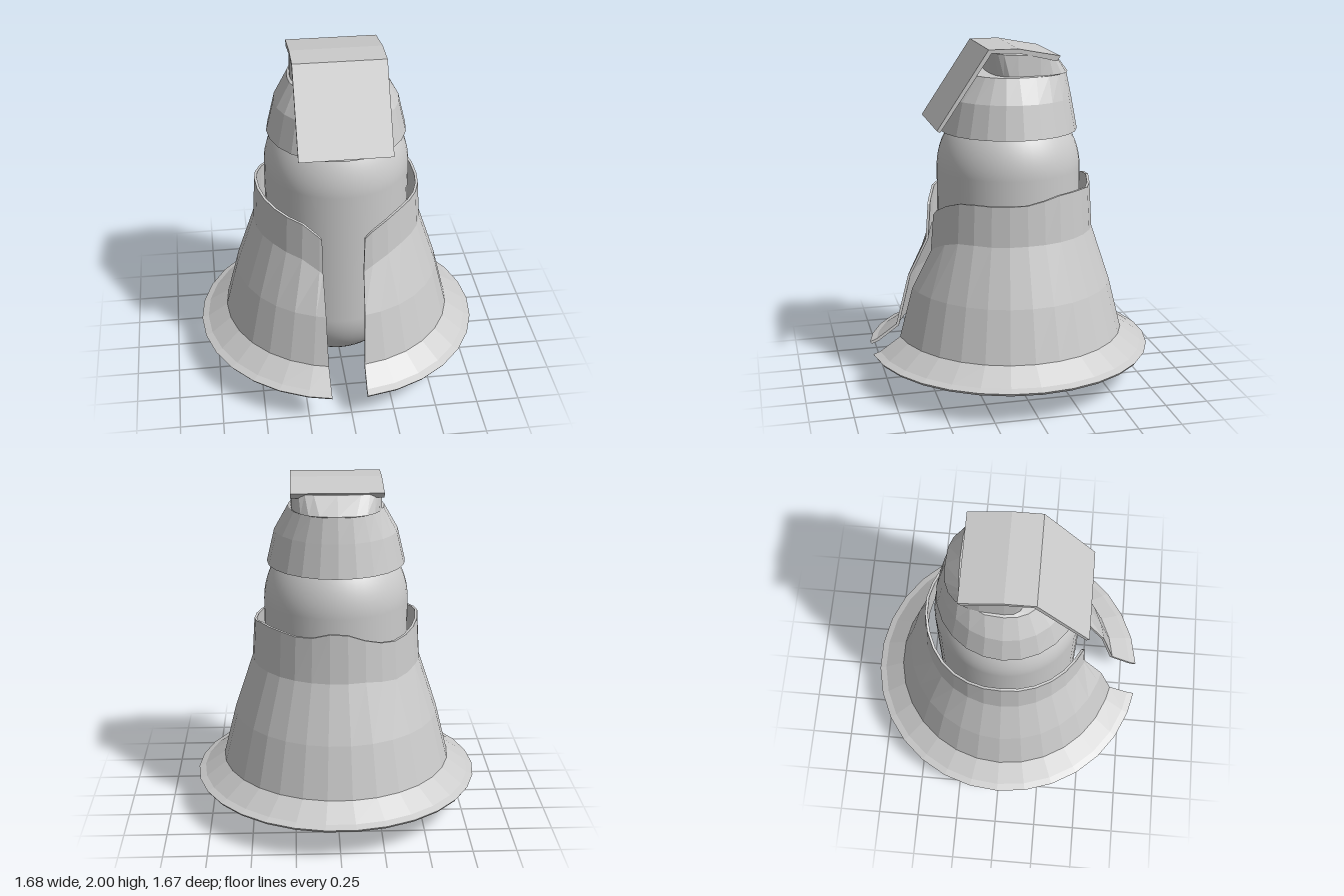
import * as THREE from 'three';

const smooth = new THREE.MeshStandardMaterial({ color: 0xcccccc });
const faceted = new THREE.MeshStandardMaterial({ color: 0xcccccc, flatShading: true, side: THREE.DoubleSide });

// Joins columns of points into a faceted skin. Columns run left to right, rows upward.
function skin(columns, { wrapColumns = false, wrapRows = false, caps = false } = {}) {
  const n = columns.length, m = columns[0].length, index = [];
  for (let k = 0; k < (wrapColumns ? n : n - 1); k++) {
    for (let j = 0; j < (wrapRows ? m : m - 1); j++) {
      const k2 = (k + 1) % n, j2 = (j + 1) % m;
      const a = k * m + j, b = k2 * m + j, c = k2 * m + j2, d = k * m + j2;
      index.push(a, b, c, a, c, d);
    }
  }
  if (caps) {
    for (let j = 0; j < m / 2 - 1; j++) {
      const quad = [j, j + 1, m - 2 - j, m - 1 - j];
      const [a, b, c, d] = quad;
      index.push(a, b, c, a, c, d);
      const [e, f, g, h] = quad.map(i => i + (n - 1) * m);
      index.push(e, g, f, e, h, g);
    }
  }
  const geometry = new THREE.BufferGeometry();
  geometry.setAttribute('position', new THREE.Float32BufferAttribute(columns.flat(2), 3));
  geometry.setIndex(index);
  const flat = geometry.toNonIndexed();
  flat.computeVertexNormals();
  return flat;
}

// Wavy top edge of the skirt: [degrees from the front towards +x, height]
const rim = [[11, 1.04], [25, 1.11], [45, 1.16], [70, 1.155], [90, 1.16], [115, 1.2], [135, 1.2], [157, 1.18],
  [180, 1.23], [205, 1.15], [225, 1.13], [250, 1.17], [270, 1.2], [300, 1.17], [330, 1.13], [345, 1.04]];

function rimHeight(deg) {
  const i = rim.findIndex(([d]) => d >= deg);
  if (i === 0) return rim[0][1];
  if (i < 0) return rim[rim.length - 1][1];
  const [d0, h0] = rim[i - 1], [d1, h1] = rim[i];
  return THREE.MathUtils.mapLinear(deg, d0, d1, h0, h1);
}

// Thin flared skirt, open in a straight slot at the front
function skirtGeometry() {
  const columns = [];
  const first = 18, step = 12, count = 28;
  for (let k = -1; k <= count; k++) {
    const start = k < 0, end = k === count;
    const top = rimHeight(start ? 11 : end ? 345 : first + k * step);
    const bend = 0.93 + 0.9 * Math.min(0, top - 1.16);
    const profile = [
      [0.84, 0.2], [0.80, 0.215], [0.68, 0.3], [0.605, 0.6], [0.495, bend], [0.48, top],
      [0.465, top], [0.48, bend], [0.59, 0.6], [0.665, 0.29], [0.79, 0.2], [0.83, 0.185],
    ];
    columns.push(profile.map(([r, y]) => {
      let angle = THREE.MathUtils.degToRad(first + k * step);
      if (start) angle = Math.asin((0.075 + 0.03 * y) / r);
      if (end) angle = -Math.asin((0.12 + 0.015 * y) / r);
      return [r * Math.sin(angle), y, r * Math.cos(angle)];
    }));
  }
  return skin(columns, { wrapRows: true, caps: true });
}

// Cap shell: round at the brim, squarer towards the roof
function capGeometry() {
  // half width, front depth, back depth, height, roundness (1 = ellipse)
  const rings = [
    [0.40, 0.40, 0.40, 1.51, 1], [0.355, 0.35, 0.365, 1.7, 1], [0.275, 0.24, 0.335, 1.84, 0.9],
    [0.26, 0.13, 0.335, 1.845, 0.7], [0.255, 0.16, 0.25, 1.95, 0.5], [0, 0, 0, 1.96, 1],
  ];
  const bow = (v, p) => Math.sign(v) * Math.abs(v) ** p;
  const columns = [];
  for (let k = 0; k < 24; k++) {
    const angle = (k / 24) * Math.PI * 2, s = Math.sin(angle), c = Math.cos(angle);
    columns.push(rings.map(([w, front, back, y, p], i) =>
      [w * bow(s, p), y + (i === 4 ? 0.018 * (c + 0.8) : 0), (c > 0 ? front : back) * bow(c, p)]));
  }
  return skin(columns, { wrapColumns: true });
}

// Side outline in (z, y), stretched across the width
function slab(points, width) {
  const shape = new THREE.Shape(points.map(([z, y]) => new THREE.Vector2(-z, y)));
  const geometry = new THREE.ExtrudeGeometry(shape, { depth: width, bevelEnabled: false });
  return geometry.translate(0, 0, -width / 2).rotateY(Math.PI / 2);
}

export function createModel() {
  const model = new THREE.Group();
  const add = (name, geometry, material = faceted) => {
    const mesh = new THREE.Mesh(geometry, material);
    mesh.name = name;
    model.add(mesh);
    return mesh;
  };

  // Smooth body with rounded ends
  add('body', new THREE.CapsuleGeometry(0.42, 0.86, 16, 48), smooth).position.y = 0.855;

  add('skirt', skirtGeometry());
  add('cap', capGeometry());

  // Roof of the cap and the visor hanging from its front edge
  add('capRoof', slab([[0.17, 2], [0, 2], [-0.13, 1.975], [-0.24, 1.955], [-0.22, 1.925], [0, 1.975], [0.155, 1.98]], 0.52));
  add('visor', slab([[0.17, 2], [0.465, 1.56], [0.447, 1.55], [0.15, 1.985]], 0.52));

  return model;
}
